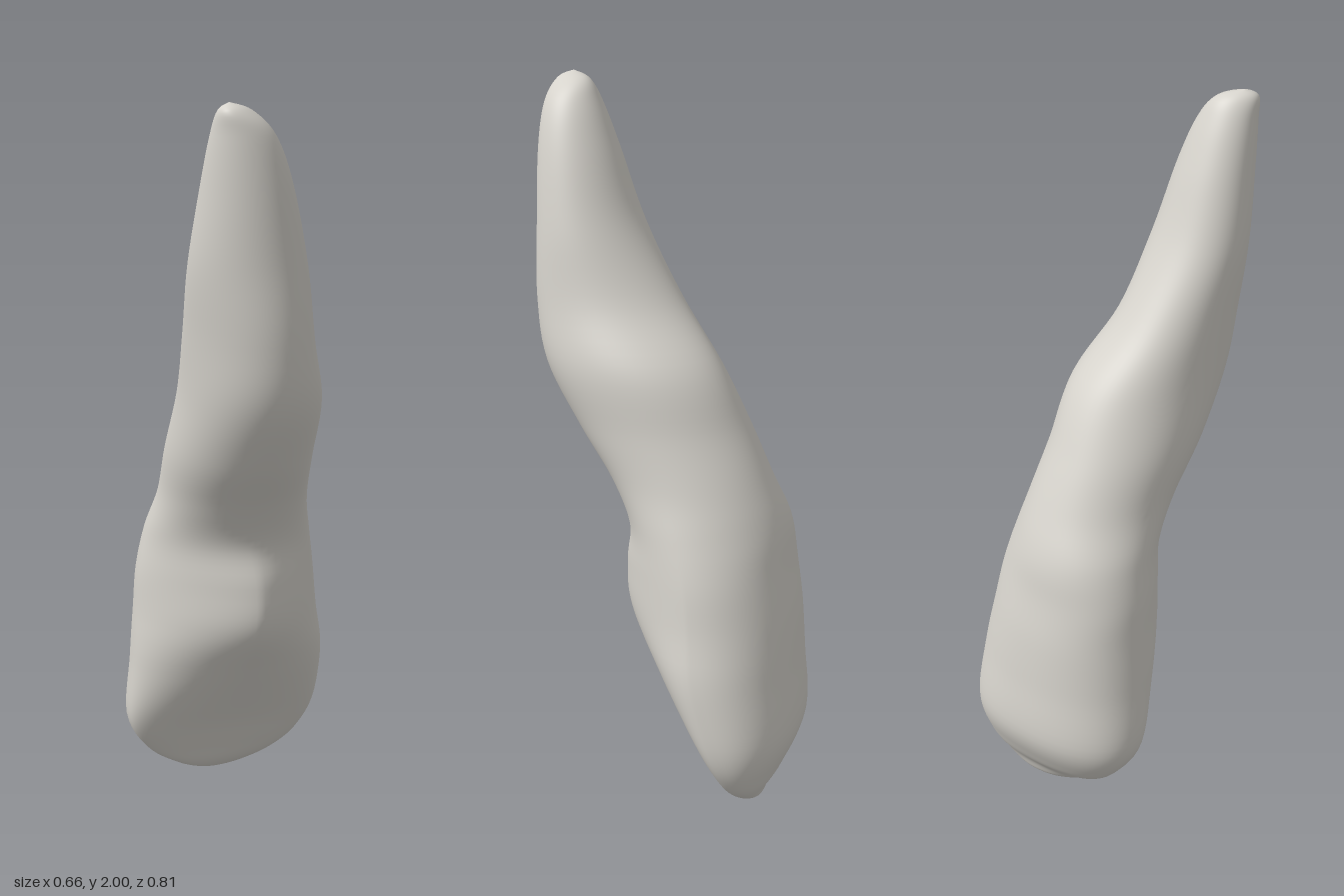
import * as THREE from 'three';

// Outline at each height: y, xMin, xMax, zMin, zMax
const OUTLINE = [
  [0, -0.10, -0.10, -0.22, -0.22],
  [0.015, -0.15, -0.04, -0.28, -0.15],
  [0.05, -0.205, 0.03, -0.33, -0.08],
  [0.11, -0.28, 0.095, -0.375, -0.015],
  [0.22, -0.33, 0.155, -0.402, 0.052],
  [0.4, -0.316, 0.20, -0.375, 0.09],
  [0.55, -0.305, 0.208, -0.345, 0.119],
  [0.68, -0.292, 0.208, -0.315, 0.122],
  [0.8, -0.265, 0.208, -0.28, 0.126],
  [0.92, -0.212, 0.226, -0.237, 0.18],
  [1.06, -0.167, 0.272, -0.18, 0.265],
  [1.23, -0.105, 0.324, -0.112, 0.338],
  [1.4, -0.05, 0.326, 0.022, 0.367],
  [1.6, 0.004, 0.314, 0.122, 0.387],
  [1.8, 0.055, 0.288, 0.192, 0.398],
  [1.92, 0.09, 0.253, 0.243, 0.402],
  [1.98, 0.118, 0.20, 0.288, 0.40],
  [2, 0.15, 0.15, 0.36, 0.36],
];

// Section shape at the same heights: turn in degrees, outer and inner depth
// relative to half width, outer and inner pointedness (below 1 is boxier)
const SHAPE = [
  [45, 0.35, 0.25, 0.9, 0.9],
  [45, 0.35, 0.25, 0.9, 0.9],
  [45, 0.36, 0.25, 0.9, 0.9],
  [44, 0.45, 0.26, 0.87, 0.87],
  [42, 0.62, 0.32, 0.87, 0.87],
  [41, 0.75, 0.63, 0.9, 1.12],
  [40, 0.8, 1.0, 0.93, 1.3],
  [40, 0.82, 1.05, 0.95, 1.28],
  [38, 0.95, 1.0, 1, 1.1],
  [36, 1.12, 1.12, 1, 1],
  [35, 1.27, 1.27, 1, 1],
  [35, 1.36, 1.36, 1, 1],
  [35, 1.28, 1.28, 1, 1],
  [35, 1, 1, 1, 1],
  [35, 0.97, 0.97, 1, 1],
  [35, 0.97, 0.97, 1, 1],
  [35, 1, 1, 1, 1],
  [35, 1, 1, 1, 1],
];

// Smooth blend between neighbouring rows
function sample(rows, t) {
  const n = rows.length - 1;
  const i = Math.min(Math.floor(t), n - 1);
  const f = t - i;
  const [a, b, c, d] = [i - 1, i, i + 1, i + 2].map(k => rows[Math.max(0, Math.min(n, k))]);
  return b.map((p, k) => {
    const m0 = (c[k] - a[k]) / 2;
    const m1 = (d[k] - p) / 2;
    return p + f * m0 + f * f * (3 * (c[k] - p) - 2 * m0 - m1)
      + f * f * f * (2 * (p - c[k]) + m0 + m1);
  });
}

// One horizontal section, turned and then fitted into its outline
function section(t, sides) {
  const [y, x0, x1, z0, z1] = sample(OUTLINE, t);
  const [turn, outer, inner, outerPoint, innerPoint] = sample(SHAPE, t);
  const a = THREE.MathUtils.degToRad(turn);
  const pts = [];
  for (let j = 0; j < sides; j++) {
    const th = (j / sides) * Math.PI * 2;
    const c = Math.cos(th), s = Math.sin(th);
    const q = s > 0 ? innerPoint : outerPoint;
    const u = Math.sign(c) * Math.abs(c) ** q;
    const w = Math.sign(s) * Math.abs(s) ** q * (s > 0 ? inner : outer);
    pts.push([u * Math.cos(a) + w * Math.sin(a), w * Math.cos(a) - u * Math.sin(a)]);
  }
  const xs = pts.map(p => p[0]), zs = pts.map(p => p[1]);
  const fit = (v, all, lo, hi) => THREE.MathUtils.mapLinear(v, Math.min(...all), Math.max(...all), lo, hi);
  return pts.map(p => [fit(p[0], xs, x0, x1), y, fit(p[1], zs, z0, z1)]);
}

function toothGeometry(steps = 6, sides = 64) {
  const rings = (OUTLINE.length - 1) * steps;
  const positions = [], index = [];
  for (let i = 0; i <= rings; i++) positions.push(...section(i / steps, sides).flat());
  for (let i = 0; i < rings; i++) {
    for (let j = 0; j < sides; j++) {
      const a = i * sides + j, b = i * sides + (j + 1) % sides;
      const c = a + sides, d = b + sides;
      if (i > 0) index.push(a, c, b);
      if (i < rings - 1) index.push(b, c, d);
    }
  }
  const g = new THREE.BufferGeometry();
  g.setAttribute('position', new THREE.Float32BufferAttribute(positions, 3));
  g.setIndex(index);
  g.computeVertexNormals();
  return g;
}

export function createModel() {
  const enamel = new THREE.MeshStandardMaterial({ color: 0xd6d3cc });
  enamel.name = 'warm grey enamel';

  // Crown and root in one smooth body
  const tooth = new THREE.Mesh(toothGeometry(), enamel);
  tooth.name = 'toothCrownAndRoot';

  const model = new THREE.Group();
  model.name = 'incisorTooth';
  model.add(tooth);
  return model;
}
